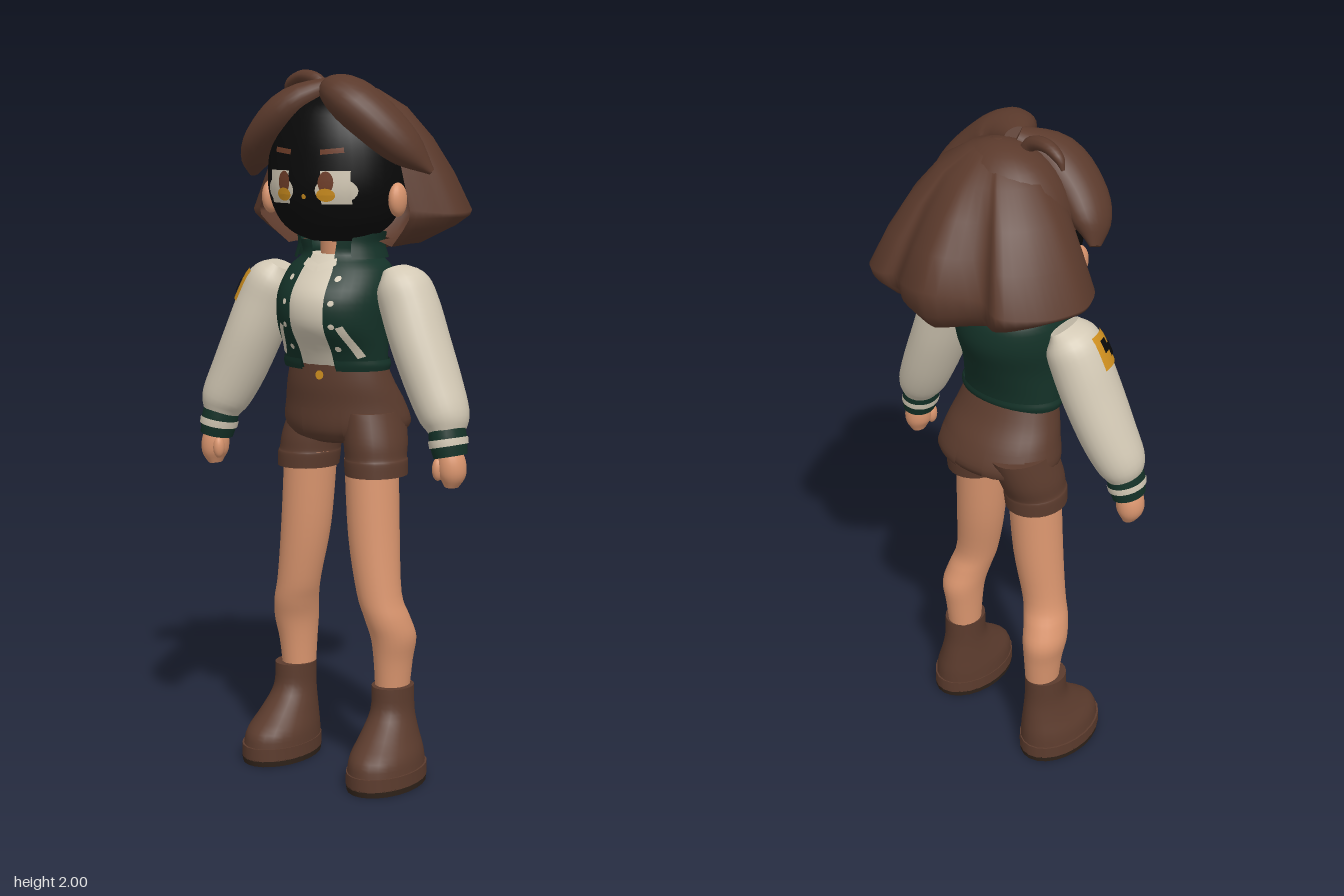
import * as THREE from 'three';

const mat = (name, color) => Object.assign(new THREE.MeshStandardMaterial({ color }), { name });
const M = {
  hair: mat('hair brown', 0x5b3a2c), leather: mat('leather brown', 0x5b3b2d), skin: mat('skin', 0xdb966f),
  green: mat('jacket green', 0x143228), cream: mat('cream', 0xd3c9b5), orange: mat('orange', 0xd0901f),
  black: mat('black', 0x0a0a0a), sole: mat('sole dark brown', 0x30231a), brow: mat('brow brown', 0x6e3d28),
};
M.hair.side = M.green.side = THREE.DoubleSide;

// Smooth a list of [x, y, z, rx, rz] cross-sections with splines
function dense(rings, k = 4) {
  const curve = (f) => new THREE.CatmullRomCurve3(rings.map(f), false, 'catmullrom', 0.5);
  const c = curve((r) => new THREE.Vector3(r[0], r[1], r[2]));
  const s = curve((r) => new THREE.Vector3(r[3], r[4], 0));
  const n = (rings.length - 1) * k;
  return Array.from({ length: n + 1 }, (_, i) => {
    const p = c.getPoint(i / n), q = s.getPoint(i / n);
    return { p, t: c.getTangent(i / n), rx: Math.max(q.x, 0.002), rz: Math.max(q.y, 0.002) };
  });
}

// Surface through rows of points, optionally closed around and capped
function grid(rows, closed, caps) {
  const pos = [], idx = [], w = rows[0].length, m = closed ? w : w - 1;
  rows.forEach((r) => r.forEach((p) => pos.push(p.x, p.y, p.z)));
  for (let i = 0; i < rows.length - 1; i++) for (let j = 0; j < m; j++) {
    const a = i * w + j, b = i * w + (j + 1) % w;
    idx.push(a, b, a + w, b, b + w, a + w);
  }
  if (caps) [[rows[0], 1], [rows[rows.length - 1], 0]].forEach(([row, flip]) => {
    const s = pos.length / 3, mid = new THREE.Vector3();
    row.forEach((p) => { pos.push(p.x, p.y, p.z); mid.addScaledVector(p, 1 / w); });
    pos.push(mid.x, mid.y, mid.z);
    for (let j = 0; j < w; j++) {
      const a = s + j, b = s + (j + 1) % w;
      idx.push(s + w, flip ? b : a, flip ? a : b);
    }
  });
  const g = new THREE.BufferGeometry();
  g.setAttribute('position', new THREE.Float32BufferAttribute(pos, 3));
  g.setIndex(idx);
  g.computeVertexNormals();
  return g;
}

// Elliptical sections along a downward path; arc in degrees (0 = -x, -90 = front)
function loft(rings, { flat = false, arc = null, grow = 0, from = 0, to = 1, seg = 24 } = {}) {
  const d = dense(rings), Z = new THREE.Vector3(0, 0, 1);
  const cut = d.slice(Math.round(from * (d.length - 1)), Math.round(to * (d.length - 1)) + 1);
  const [a0, a1] = arc || [0, 360];
  const rows = cut.map(({ p, t, rx, rz }) => {
    const T = flat ? new THREE.Vector3(0, -1, 0) : t;
    const u = T.clone().cross(Z).normalize(), v = T.clone().cross(u);
    return Array.from({ length: arc ? seg + 1 : seg }, (_, j) => {
      const th = (a0 + (a1 - a0) * j / seg) * Math.PI / 180;
      return p.clone().addScaledVector(u, Math.cos(th) * (rx + grow)).addScaledVector(v, Math.sin(th) * (rz + grow));
    });
  });
  return grid(rows, !arc, !arc);
}

// Press a flat geometry onto the front of a body made of flat sections
function press(geo, rings, x, y, rot = 0, lift = 0.004) {
  const d = dense(rings), P = geo.rotateZ(rot).translate(x, y, 0).attributes.position;
  for (let i = 0; i < P.count; i++) {
    const px = P.getX(i), py = P.getY(i);
    let k = d.findIndex((r) => r.p.y < py);
    k = Math.max(1, k < 0 ? d.length - 1 : k);
    const a = d[k - 1], b = d[k], f = THREE.MathUtils.clamp((a.p.y - py) / (a.p.y - b.p.y), 0, 1);
    const mix = (m, n) => m + (n - m) * f;
    P.setZ(i, mix(a.p.z, b.p.z) + lift + mix(a.rz, b.rz) * Math.sqrt(Math.max(0, 1 - (px / mix(a.rx, b.rx)) ** 2)));
  }
  geo.computeVertexNormals();
  return geo;
}
const disc = (rx, ry) => new THREE.RingGeometry(0, 1, 20, 4).scale(rx, ry, 1);
const strip = (w, h) => new THREE.PlaneGeometry(w, h, 6, 6);

export function createModel() {
  const model = new THREE.Group();
  const add = (name, geo, material) => {
    const m = new THREE.Mesh(geo, material);
    m.name = name;
    model.add(m);
  };
  const ball = (name, material, x, y, z, a, b, c) =>
    add(name, new THREE.SphereGeometry(1, 20, 14).scale(a, b, c).translate(x, y, z), material);
  const side = (s, rings, shift = () => 0) => rings.map(([x, y, z, a, b]) => [s * x, y, z + shift(y), a, b]);

  // Head and face
  const head = [[0, 1.93, 0.08, 0.06, 0.07], [0, 1.89, 0.08, 0.13, 0.13], [0, 1.82, 0.08, 0.18, 0.16],
    [0, 1.74, 0.08, 0.198, 0.173], [0, 1.66, 0.08, 0.195, 0.175], [0, 1.59, 0.08, 0.168, 0.15], [0, 1.55, 0.08, 0.125, 0.12], [0, 1.528, 0.08, 0.075, 0.07]];
  add('head', loft(head, { flat: true, seg: 36 }), M.black);
  add('neck', loft([[0, 1.57, 0.075, 0.05, 0.05], [0, 1.44, 0.06, 0.055, 0.055]], { flat: true }), M.skin);
  add('nose', press(disc(0.007, 0.007), head, 0, 1.655), M.orange);
  for (const s of [-1, 1]) {
    ball('ear', M.skin, s * 0.205, 1.645, 0.1, 0.023, 0.047, 0.034);
    add('eyeWhite', press(strip(0.076, 0.09), head, s * 0.088, 1.68), M.cream);
    add('eyeCorner', press(disc(0.054, 0.036), head, s * 0.088, 1.672, 0, 0.003), M.cream);
    add('iris', press(disc(0.021, 0.03), head, s * 0.066, 1.694, 0, 0.007), M.brow);
    add('irisGlow', press(disc(0.025, 0.018), head, s * 0.066, 1.66, 0, 0.009), M.orange);
    add('brow', press(strip(0.062, 0.014), head, s * 0.077, 1.778, s * 0.1), M.brow);
  }

  // Hair: skull cap, bob shell, two fringe locks and a stray curl
  add('hairCap', new THREE.SphereGeometry(1, 28, 12, 0, Math.PI * 2, 0, Math.PI * 0.5)
    .scale(0.215, 0.225, 0.17).translate(0, 1.74, 0.03), M.hair);
  const rim = new THREE.CatmullRomCurve3([[-0.25, 0.09], [-0.3, 0.045], [-0.33, -0.035], [-0.32, -0.09], [-0.277, -0.175],
    [-0.195, -0.25], [-0.125, -0.222], [0, -0.305], [0.095, -0.28], [0.155, -0.235], [0.2, -0.245], [0.27, -0.21],
    [0.305, -0.14], [0.325, -0.05], [0.285, 0.02], [0.235, 0.085]].map(([x, z]) => new THREE.Vector3(x, 0, z))).getPoints(60);
  const fall = [[0.02, 1.965, 0], [0.25, 1.945, 0], [0.5, 1.895, 0], [0.7, 1.82, 0.01], [0.86, 1.74, 0.03], [1, 1.655, 0.05],
    [0.985, 1.58, -0.013], [0.87, 1.53, -0.035], [0.62, 1.49, -0.03], [0.35, 1.53, 0]];
  add('hairBob', grid(fall.map(([f, y, drop]) => rim.map((p) => {
    // lobes fade into a smooth oval towards the crown
    const q = p.clone().multiplyScalar(1 / Math.hypot(p.x / 0.32, p.z / 0.275)).lerp(p, THREE.MathUtils.smoothstep(f, 0.3, 0.95));
    return new THREE.Vector3(0.02 + f * (q.x - 0.02), y - drop * Math.min(1, Math.abs(p.x) / 0.3), 0.04 + f * (q.z - 0.04));
  })), false, false), M.hair);
  add('fringeLeft', loft([[0.0, 1.955, 0.09, 0.025, 0.035], [0.085, 1.922, 0.16, 0.06, 0.085], [0.165, 1.86, 0.155, 0.064, 0.082],
    [0.24, 1.785, 0.12, 0.05, 0.066], [0.305, 1.722, 0.09, 0.008, 0.015]]), M.hair);
  add('fringeRight', loft([[0.0, 1.955, 0.095, 0.025, 0.035], [-0.09, 1.9, 0.148, 0.054, 0.078], [-0.17, 1.83, 0.148, 0.056, 0.08],
    [-0.23, 1.765, 0.122, 0.043, 0.064], [-0.262, 1.71, 0.095, 0.01, 0.02]]), M.hair);
  add('strayCurl', loft([[-0.045, 1.93, 0.06, 0.018, 0.018], [-0.075, 1.968, 0.06, 0.02, 0.02], [-0.13, 1.98, 0.05, 0.018, 0.02],
    [-0.175, 1.962, 0.042, 0.014, 0.016], [-0.193, 1.932, 0.038, 0.004, 0.006]], { seg: 10 }), M.hair);

  // Shirt and open jacket
  const chest = [[0, 1.53, 0.055, 0.125, 0.1], [0, 1.49, 0.055, 0.112, 0.105], [0, 1.45, 0.06, 0.15, 0.135], [0, 1.38, 0.085, 0.165, 0.165],
    [0, 1.3, 0.1, 0.16, 0.152], [0, 1.23, 0.088, 0.157, 0.118], [0, 1.175, 0.08, 0.155, 0.1]];
  add('shirt', loft(chest.slice(1), { flat: true, grow: -0.012 }), M.cream);
  add('jacket', loft(chest, { flat: true, arc: [-71, 251], seg: 40 }), M.green);
  add('collar', loft([[0, 1.55, 0.055, 0.13, 0.1], [0, 1.52, 0.055, 0.122, 0.108], [0, 1.48, 0.055, 0.132, 0.12]],
    { flat: true, arc: [-50, 230], grow: 0.004 }), M.green);
  add('hemBand', loft([[0, 1.2, 0.082, 0.16, 0.11], [0, 1.185, 0.08, 0.164, 0.109], [0, 1.17, 0.08, 0.16, 0.104]],
    { flat: true, arc: [-70, 250], seg: 36 }), M.green);
  for (const s of [-1, 1]) {
    for (const y of [1.43, 1.365, 1.3, 1.235]) add('jacketButton', press(disc(0.008, 0.008), chest, s * 0.074, y), M.cream);
    add('pocketTrim', press(strip(0.02, 0.095), chest, s * 0.108, 1.255, s * 0.35), M.cream);
    add('shirtCollar', press(strip(0.05, 0.02), chest, s * 0.026, 1.465, s * 0.35, 0.002), M.cream);
  }

  // Shorts with a front flap and back pockets
  const hips = [[0, 1.2, 0.078, 0.142, 0.093], [0, 1.13, 0.06, 0.163, 0.115], [0, 1.07, 0.035, 0.18, 0.135],
    [0, 1.01, 0.022, 0.19, 0.146], [0, 0.975, 0.03, 0.155, 0.125], [0, 0.958, 0.04, 0.085, 0.085]];
  add('shorts', loft(hips, { flat: true, seg: 32 }), M.leather);
  add('shortsButton', press(disc(0.013, 0.013), hips, 0, 1.157), M.orange);
  add('shortsFlap', press(strip(0.13, 0.09), hips, 0, 1.015, 0, 0.006), M.leather);
  for (const [a0, a1] of [[38, 76], [104, 142]])
    add('backPocket', loft(hips, { flat: true, from: 0.4, to: 0.65, arc: [a0, a1], grow: 0.006, seg: 8 }), M.leather);

  for (const s of [-1, 1]) {
    // Legs: the left one is a step ahead
    const step = (y) => (s > 0 ? 0 : -0.08 + 0.03 * THREE.MathUtils.clamp((y - 0.5) / 0.4, 0, 1));
    add('shortsLeg', loft(side(s, [[0.1, 1.05, 0.045, 0.082, 0.11], [0.117, 0.97, 0.065, 0.086, 0.106],
      [0.123, 0.925, 0.075, 0.085, 0.098], [0.125, 0.912, 0.077, 0.088, 0.099], [0.128, 0.873, 0.08, 0.086, 0.097]], step), { flat: true }), M.leather);
    add('leg', loft(side(s, [[0.115, 0.92, 0.085, 0.075, 0.083], [0.132, 0.7, 0.1, 0.072, 0.076], [0.156, 0.54, 0.112, 0.063, 0.066],
      [0.175, 0.47, 0.1, 0.063, 0.072], [0.186, 0.41, 0.082, 0.062, 0.074], [0.183, 0.34, 0.078, 0.053, 0.064], [0.18, 0.24, 0.078, 0.046, 0.053]], step), { flat: true }), M.skin);
    add('boot', loft(side(s, [[0.187, 0.272, 0.087, 0.058, 0.068], [0.188, 0.2, 0.09, 0.06, 0.073], [0.192, 0.14, 0.115, 0.074, 0.108],
      [0.197, 0.09, 0.14, 0.09, 0.142], [0.199, 0.045, 0.145, 0.096, 0.15]], step), { flat: true }), M.leather);
    add('welt', loft(side(s, [[0.2, 0.052, 0.145, 0.099, 0.154], [0.2, 0.016, 0.145, 0.099, 0.155]], step), { flat: true }), M.leather);
    add('sole', loft(side(s, [[0.2, 0.018, 0.145, 0.099, 0.155], [0.2, 0, 0.145, 0.097, 0.152]], step), { flat: true }), M.sole);

    // Arms
    const sleeve = side(s, [[0.185, 1.45, 0.07, 0.032, 0.055], [0.208, 1.41, 0.075, 0.072, 0.084], [0.236, 1.345, 0.08, 0.081, 0.09],
      [0.274, 1.25, 0.089, 0.08, 0.093], [0.322, 1.14, 0.099, 0.076, 0.087], [0.36, 1.06, 0.11, 0.068, 0.076], [0.374, 1.018, 0.116, 0.05, 0.058]]);
    add('sleeve', loft(sleeve), M.cream);
    const cuff = side(s, [[0.369, 1.03, 0.116, 0.049, 0.058], [0.377, 0.99, 0.119, 0.05, 0.06], [0.385, 0.952, 0.121, 0.045, 0.054]]);
    add('cuff', loft(cuff), M.green);
    add('cuffStripe', loft(cuff, { from: 0.37, to: 0.63, arc: [0, 360], grow: 0.003 }), M.cream);
    add('hand', loft(side(s, [[0.382, 0.97, 0.122, 0.03, 0.034], [0.388, 0.935, 0.122, 0.039, 0.042], [0.391, 0.9, 0.122, 0.037, 0.04],
      [0.389, 0.868, 0.122, 0.018, 0.024]])), M.skin);
    ball('thumb', M.skin, s * 0.36, 0.918, 0.148, 0.016, 0.032, 0.018);

    // Shoulder badge with a zigzag mark on the right sleeve
    if (s < 0) {
      const badge = (name, m, from, to, arc, grow) => add(name, loft(sleeve, { from, to, arc, grow, seg: 10 }), m);
      badge('badge', M.orange, 4 / 24, 9 / 24, [-56, 4], 0.005);
      badge('badgeMarkUpper', M.black, 5 / 24, 7 / 24, [-26, -9], 0.008);
      badge('badgeMarkLower', M.black, 6 / 24, 8 / 24, [-42, -23], 0.009);
    }
  }
  return model;
}
